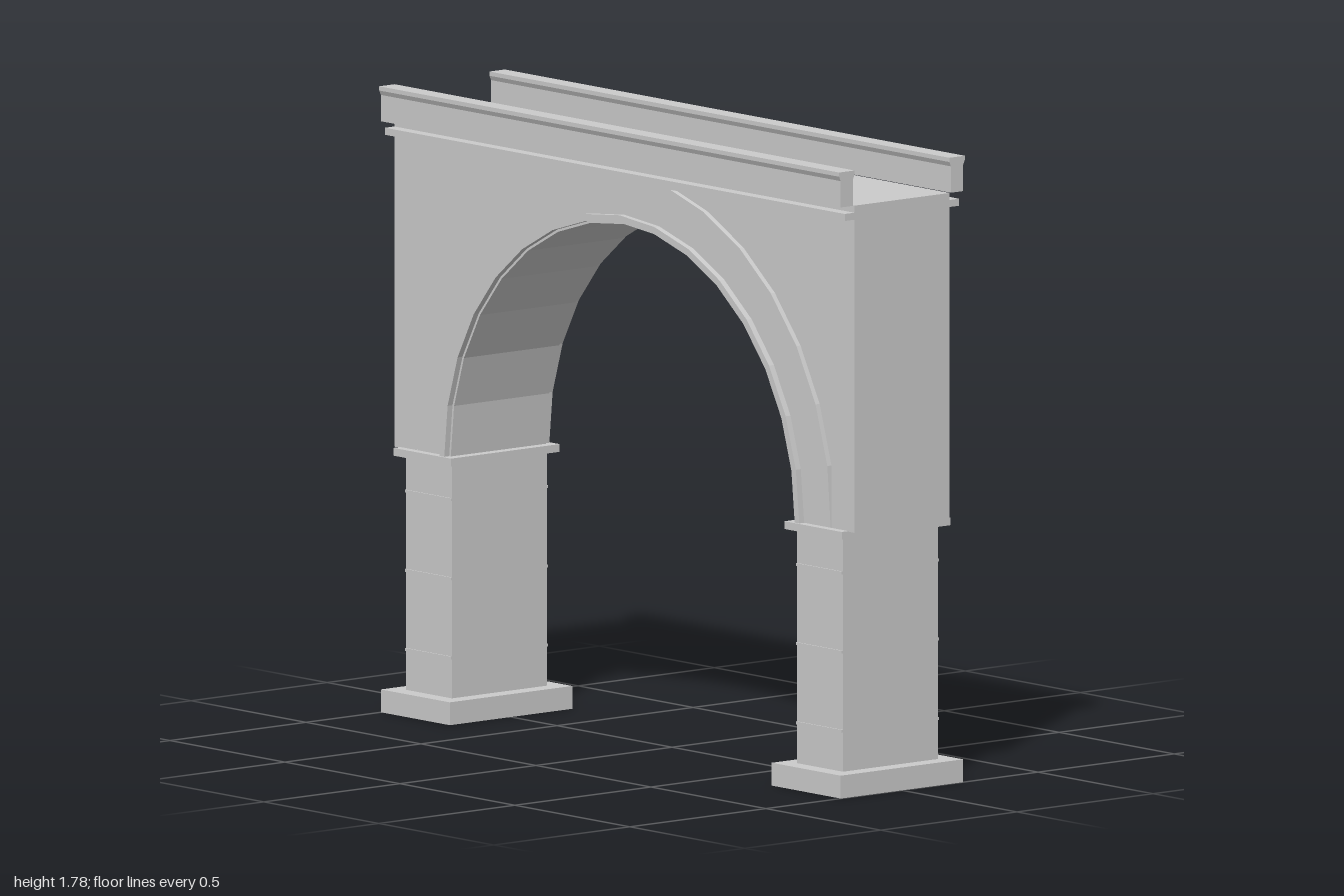
import * as THREE from 'three';

const SPRING = 0.75; // height where the arch starts
const STEPS = 16; // facets around the half circle
const FACE = 0.175; // half depth of the wall
const RECESS = 0.015;

const material = new THREE.MeshStandardMaterial({ color: 0xcccccc, flatShading: true });

function mesh(name, geometry, parent) {
  const m = new THREE.Mesh(geometry, material);
  m.name = name;
  parent.add(m);
  return m;
}

// Box given by its limits on each axis
function box(name, parent, [x0, x1], [y0, y1], [z0, z1]) {
  const m = mesh(name, new THREE.BoxGeometry(x1 - x0, y1 - y0, z1 - z0), parent);
  m.position.set((x0 + x1) / 2, (y0 + y1) / 2, (z0 + z1) / 2);
  return m;
}

// Points of an arc over the opening, from step a to step b (0 = right springing)
function arc(r, a = 0, b = STEPS) {
  const points = [];
  const dir = Math.sign(b - a);
  for (let i = a; i !== b + dir; i += dir) {
    const t = (i / STEPS) * Math.PI;
    points.push(new THREE.Vector2(r * Math.cos(t), SPRING + r * Math.sin(t)));
  }
  return points;
}

function extrude(shape, depth, z) {
  const g = new THREE.ExtrudeGeometry(shape, { depth, bevelEnabled: false });
  return g.translate(0, 0, z);
}

// Wall outline with the arched opening cut from its lower edge
function wallShape() {
  const corner = (x, y) => new THREE.Vector2(x, y);
  return new THREE.Shape([
    ...arc(0.755), corner(-1, SPRING), corner(-1, 1.68), corner(1, 1.68), corner(1, SPRING),
  ]);
}

// Three-sided recess between the arch band, the side strip and the top band
function spandrelHole(side) {
  const points = [
    new THREE.Vector2(0.2, 1.627),
    ...arc(0.9, 6, 1),
    new THREE.Vector2(0.897, SPRING + 0.003),
    new THREE.Vector2(0.9, SPRING + 0.003),
    new THREE.Vector2(0.9, 1.627),
  ];
  points.forEach((p) => { p.x *= side; });
  return new THREE.Path(points);
}

// Everything applied to one long face of the bridge
function buildFace(name) {
  const face = new THREE.Group();
  face.name = name;

  const panel = wallShape();
  panel.holes.push(spandrelHole(1), spandrelHole(-1));
  mesh('spandrelFrame', extrude(panel, RECESS, FACE - RECESS), face);

  const ring = new THREE.Shape([...arc(0.782), ...arc(0.762, STEPS, 0)]);
  mesh('archMoulding', extrude(ring, 0.02, FACE - 0.002), face);

  box('cornice', face, [-1, 1], [1.64, 1.66], [FACE - 0.005, 0.21]);

  // Parapet with a slightly flared top, run along the bridge
  const profile = new THREE.Shape([
    [0.18, 1.68], [0.225, 1.68], [0.225, 1.755], [0.231, 1.768],
    [0.231, 1.78], [0.174, 1.78], [0.174, 1.768], [0.18, 1.755],
  ].map(([z, y]) => new THREE.Vector2(z, y)));
  mesh('parapet', extrude(profile, 2, -1).rotateY(-Math.PI / 2), face);

  // Thin course lines on the piers
  for (const side of [-1, 1]) {
    for (const y of [0.18, 0.405, 0.63]) {
      const line = box('pierCourse', face, [0.75, 0.95], [y - 0.004, y + 0.004], [FACE - 0.002, FACE + 0.004]);
      line.position.x *= side;
    }
  }
  return face;
}

function buildPier(name, side) {
  const pier = new THREE.Group();
  pier.name = name;
  box('base', pier, [0.7, 1], [0, 0.065], [-0.225, 0.225]);
  box('shaft', pier, [0.75, 0.95], [0.065, 0.73], [-FACE, FACE]);
  box('impost', pier, [0.725, 0.975], [0.73, 0.752], [-0.2, 0.2]);
  pier.rotation.y = side > 0 ? 0 : Math.PI;
  return pier;
}

export function createModel() {
  const model = new THREE.Group();
  model.name = 'archBridge';

  const half = FACE - RECESS;
  mesh('archWall', extrude(wallShape(), 2 * half, -half), model);

  const front = buildFace('frontFace');
  const back = buildFace('backFace');
  back.rotation.y = Math.PI;
  model.add(front, back, buildPier('leftPier', 1), buildPier('rightPier', -1));
  return model;
}
